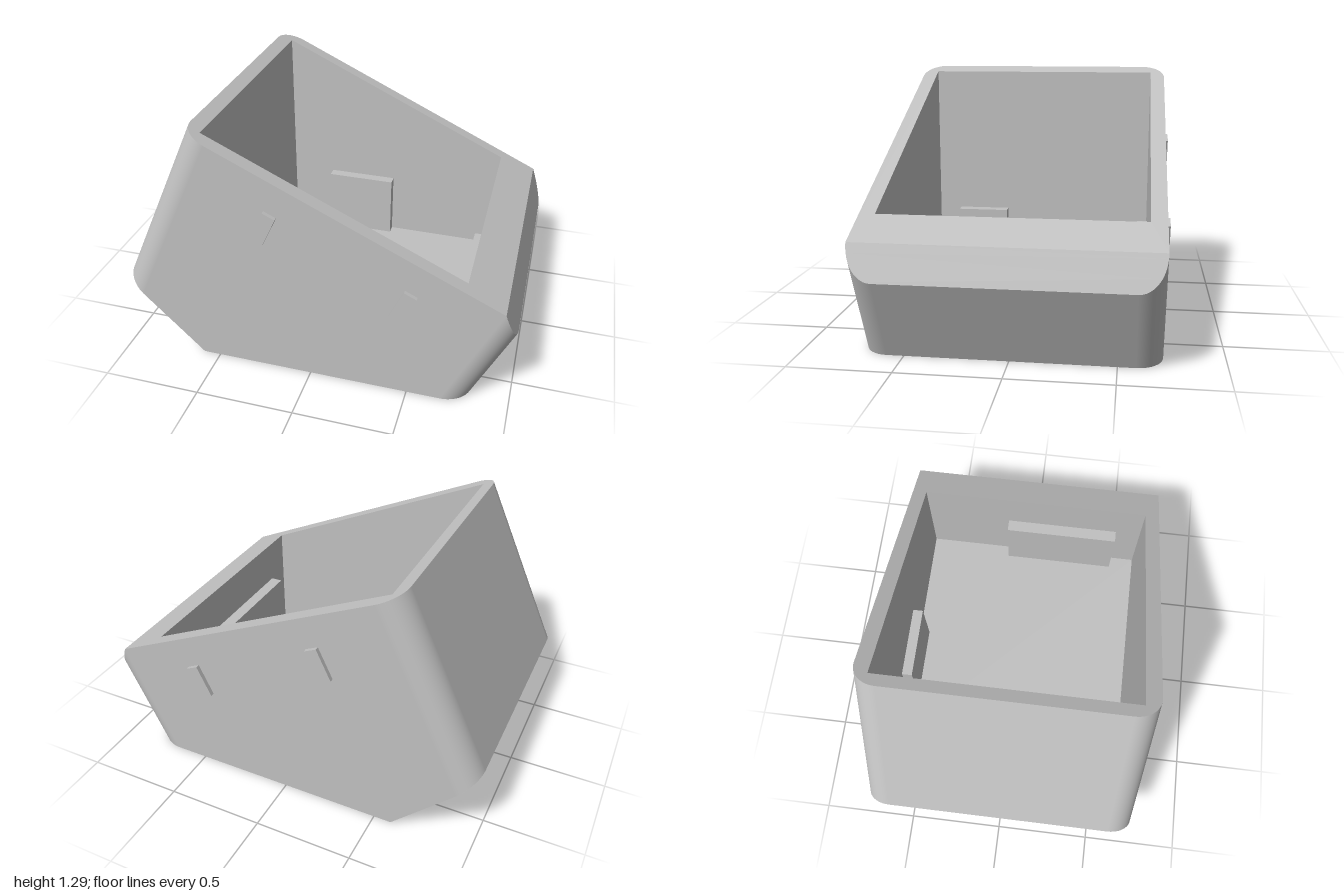
import * as THREE from 'three';

// Tilted frame: s runs down the slope, t is the prism axis, z is shared with the world.
const TILT = Math.atan2(0.421, 0.907), C = Math.cos(TILT), S = Math.sin(TILT);
const S0 = -1.078, S1 = 0.734, Z = 0.71, R = 0.126;
const FOLD = -0.535;            // where the base meets the slanted underside
const TOP = 0.922;              // rim plane along t
const RIM_END = S1 - R;         // where the rim meets the nose bevel
const FLOOR = 0.066;
const HOLE = { x0: -0.525, x1: 0.75, z0: -0.633, z1: 0.633 };

const toWorld = (s, t, z) => new THREE.Vector3(C * s + S * t, -S * s + C * t, z);
const rimT = () => TOP;
const bevelT = s => TOP - (s - RIM_END) * 1.02;
const baseT = s => s * S / C;
const underT = s => (-0.59 - (C - S) * s) / (C + S);

// Rounded rectangle cross-section with outward normals, split at the fold
function makeOutline() {
  const pts = [];
  const corners = [[S1 - R, Z - R], [S0 + R, Z - R], [S0 + R, R - Z], [S1 - R, R - Z]];
  corners.forEach(([cs, cz], k) => {
    for (let i = 0; i <= 12; i++) {
      const a = (k + i / 12) * Math.PI / 2, n = Math.cos(a), m = Math.sin(a);
      pts.push({ s: cs + R * n, z: cz + R * m, n, m });
    }
    if (k === 0) pts.push({ s: FOLD, z: Z, n: 0, m: 1 });
    if (k === 2) pts.push({ s: FOLD, z: -Z, n: 0, m: -1 });
  });
  return pts;
}

// Side wall between the lower and upper cutting planes
function wallGeometry(outline) {
  const pos = [], nor = [], idx = [], count = outline.length;
  outline.forEach(({ s, z, n, m }, i) => {
    const low = Math.max(baseT(s), underT(s)), high = Math.min(TOP, bevelT(s));
    for (const t of [low, high]) {
      pos.push(...toWorld(s, t, z).toArray());
      nor.push(...toWorld(n, 0, m).toArray());
    }
    const a = 2 * i, b = 2 * ((i + 1) % count);
    idx.push(a, a + 1, b, b, a + 1, b + 1);
  });
  const g = new THREE.BufferGeometry();
  g.setAttribute('position', new THREE.Float32BufferAttribute(pos, 3));
  g.setAttribute('normal', new THREE.Float32BufferAttribute(nor, 3));
  g.setIndex(idx);
  return g;
}

// Flat face: part of the outline laid on a cutting plane
function capGeometry(points, heightAt, up, hole) {
  const shape = new THREE.Shape(points.map(p => new THREE.Vector2(p.s, p.z)));
  if (hole) shape.holes.push(new THREE.Path(hole));
  const g = new THREE.ShapeGeometry(shape), p = g.attributes.position;
  for (let i = 0; i < p.count; i++) {
    const s = p.getX(i), z = p.getY(i);
    p.setXYZ(i, ...toWorld(s, heightAt(s), z).toArray());
  }
  if (up) g.setIndex(Array.from(g.index.array).reverse());
  g.computeVertexNormals();
  return g;
}

// Upright rectangular cavity, open where it meets the sloping rim
function cavityGeometry() {
  const { x0, x1, z0, z1 } = HOLE;
  const g = new THREE.BoxGeometry(x1 - x0, 1, z1 - z0);
  g.translate((x0 + x1) / 2, 0, (z0 + z1) / 2);
  const p = g.attributes.position;
  for (let i = 0; i < p.count; i++) {
    p.setY(i, p.getY(i) < 0 ? FLOOR : (TOP - S * p.getX(i)) / C);
  }
  const idx = Array.from(g.index.array);
  idx.splice(12, 6);            // remove the lid
  g.setIndex(idx.reverse());    // face inwards
  g.clearGroups();
  g.computeVertexNormals();
  return g;
}

export function createModel() {
  const grey = new THREE.MeshStandardMaterial({ color: 0xc0c0c0 });
  grey.name = 'grey';
  const model = new THREE.Group();
  model.name = 'slantedBin';
  const add = (name, geometry) => {
    const mesh = new THREE.Mesh(geometry, grey);
    mesh.name = name;
    model.add(mesh);
    return mesh;
  };

  // Shell
  const outline = makeOutline(), e = 1e-6;
  const below = limit => outline.filter(p => p.s <= limit + e);
  const above = limit => outline.filter(p => p.s >= limit - e);
  const holeS = x => (x - S * TOP) / C;
  const hole = [[HOLE.x0, HOLE.z0], [HOLE.x0, HOLE.z1], [HOLE.x1, HOLE.z1], [HOLE.x1, HOLE.z0]]
    .map(([x, z]) => new THREE.Vector2(holeS(x), z));
  add('outerWall', wallGeometry(outline));
  add('rim', capGeometry(below(RIM_END), rimT, true, hole));
  add('noseBevel', capGeometry(above(RIM_END), bevelT, true));
  add('base', capGeometry(above(FOLD), baseT, false));
  add('slantedUnderside', capGeometry(below(FOLD), underT, false));
  add('cavity', cavityGeometry());

  // Upright blocks against the inner walls: x0, x1, z0, z1
  const blocks = {
    backInnerBlock: [-0.28, 0.11, HOLE.z0, -0.577],
    leftInnerBlock: [0.685, HOLE.x1, -0.155, 0.49],
    rightInnerBlock: [HOLE.x0, -0.46, 0.21, 0.505],
  };
  const blockTop = 0.428;
  for (const [name, [x0, x1, z0, z1]] of Object.entries(blocks)) {
    add(name, new THREE.BoxGeometry(x1 - x0, blockTop - FLOOR, z1 - z0))
      .position.set((x0 + x1) / 2, (blockTop + FLOOR) / 2, (z0 + z1) / 2);
  }

  // Small tilted clips on the front and back walls
  for (const side of [1, -1]) {
    for (const [x, y] of [[-0.211, 0.848], [0.466, 0.533]]) {
      const clip = add(side > 0 ? 'frontClip' : 'backClip', new THREE.BoxGeometry(0.068, 0.172, 0.04));
      clip.position.set(x, y, side * 0.711);
      clip.rotation.z = -TILT;
    }
  }
  return model;
}
